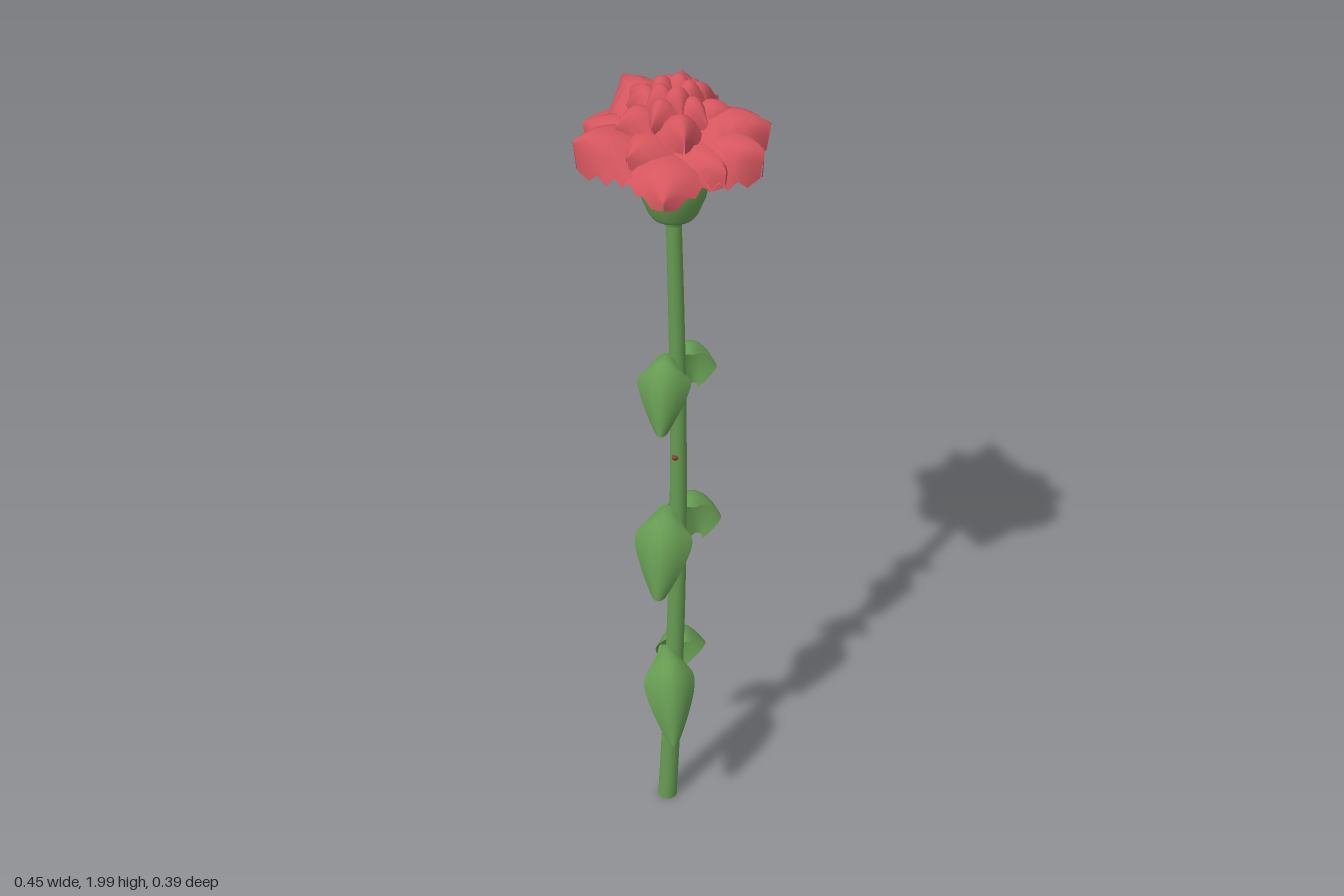
import * as THREE from 'three';

const STEM_TOP = 1.69;

// Gently bowed centre line of the stem at height y
function stemAt(y) {
  const t = y / STEM_TOP;
  const bow = Math.sin(Math.PI * t);
  return new THREE.Vector3(0.012 * bow, y, 0.026 * (1 - t) ** 2 - 0.008 * bow);
}

// Curved blade growing along +x: spine holds three [radius, height] points,
// width(u) is the half width, fold(u) bends the edges below the spine,
// lean pulls the folded edges inward, teeth notch the rim
function bladeGeometry({ spine, width, fold, lean, teeth = 0, rows = 16, cols = 6 }) {
  const curve = new THREE.QuadraticBezierCurve(...spine.map(p => new THREE.Vector2(...p)));
  const geo = new THREE.PlaneGeometry(1, 1, cols, rows);
  const pos = geo.attributes.position;
  for (let i = 0; i < pos.count; i++) {
    const v = pos.getX(i) * 2;
    const u = pos.getY(i) + 0.5;
    const rim = Math.abs(v) > 0.99 && Math.round(u * rows) % 2 ? teeth : 0;
    const p = curve.getPoint(u);
    const along = curve.getTangent(u);
    const drop = fold(u) * v * v + rim;
    pos.setXYZ(i, p.x + lean * along.y * drop, p.y - along.x * drop, v * width(u));
  }
  geo.computeVertexNormals();
  return geo;
}

export function createModel() {
  const green = new THREE.MeshStandardMaterial({ color: 0x669b52, side: THREE.DoubleSide });
  green.name = 'leaf green';
  const red = new THREE.MeshStandardMaterial({ color: 0xd6565f, side: THREE.DoubleSide });
  red.name = 'petal red';
  const brown = new THREE.MeshStandardMaterial({ color: 0x8f4038 });
  brown.name = 'thorn brown';

  const model = new THREE.Group();
  model.name = 'flower';
  const add = (name, geo, mat, parent = model) => {
    const mesh = new THREE.Mesh(geo, mat);
    mesh.name = name;
    parent.add(mesh);
    return mesh;
  };

  // Stem: tapered cylinder bent along its centre line
  const stemGeo = new THREE.CylinderGeometry(0.017, 0.024, STEM_TOP, 16, 24);
  stemGeo.translate(0, STEM_TOP / 2, 0);
  const sp = stemGeo.attributes.position;
  for (let i = 0; i < sp.count; i++) {
    const c = stemAt(sp.getY(i));
    sp.setXYZ(i, sp.getX(i) + c.x, sp.getY(i), sp.getZ(i) + c.z);
  }
  stemGeo.computeVertexNormals();
  add('stem', stemGeo, green);

  // Calyx: open cup with a small collar below
  const cup = [[0, 1.678], [0.048, 1.68], [0.055, 1.69], [0.069, 1.725], [0.077, 1.76], [0.074, 1.79]];
  add('calyx', new THREE.LatheGeometry(cup.map(p => new THREE.Vector2(...p)), 28), green);
  add('collar', new THREE.CylinderGeometry(0.025, 0.019, 0.022, 16), green).position.y = 1.668;

  // Leaves: three opposite pairs, set to one side of the stem, arching down
  const pairs = [
    { y: 0.49, reach: 0.146, drop: 0.2, half: 0.062, angle: 0.8 },
    { y: 0.905, reach: 0.137, drop: 0.18, half: 0.068, angle: 1.14 },
    { y: 1.325, reach: 0.113, drop: 0.15, half: 0.06, angle: 1.08 },
  ];
  for (const { y, reach, drop, half, angle } of pairs) {
    const geo = bladeGeometry({
      spine: [[0, 0], [reach * 0.85, 0.045], [reach, -drop]],
      width: u => half * Math.sin(Math.PI * (0.05 + 0.9 * u ** 1.2)) ** 0.8,
      fold: u => 0.05 * Math.sin(Math.PI * 0.92 * u ** 1.1) ** 0.8,
      lean: 1,
    });
    geo.translate(0, 0, 0.024);
    for (const turn of [0, Math.PI]) {
      const leaf = add('leaf', geo, green);
      leaf.position.copy(stemAt(y));
      leaf.rotation.y = -(angle + turn);
    }
  }

  // Thorns: small cones pointing outward
  const thorns = [[0.66, 130], [1.05, 80], [1.23, 130]];
  for (const [y, degrees] of thorns) {
    const a = THREE.MathUtils.degToRad(degrees);
    const out = new THREE.Vector3(Math.cos(a), 0.3, Math.sin(a)).normalize();
    const thorn = add('thorn', new THREE.ConeGeometry(0.01, 0.022, 8), brown);
    thorn.position.copy(stemAt(y)).addScaledVector(out, 0.026);
    thorn.quaternion.setFromUnitVectors(new THREE.Vector3(0, 1, 0), out);
  }

  // Petals: rings from the low outer ones to the tight domed heart
  const bloom = new THREE.Group();
  bloom.name = 'bloom';
  model.add(bloom);
  const rings = [
    { angles: [60, 180, 300], spine: [[0, 1.83], [0.13, 1.93], [0.226, 1.835]], half: 0.088, fold: 0.035 },
    { angles: [0, 120, 240], spine: [[0, 1.84], [0.13, 1.95], [0.226, 1.905]], half: 0.094, fold: 0.075 },
    { angles: [22, 158], spine: [[0, 1.85], [0.1, 1.93], [0.195, 1.875]], half: 0.08, fold: 0.05 },
    { angles: [90, 270], spine: [[0, 1.86], [0.08, 1.95], [0.165, 1.89]], half: 0.075, fold: 0.06 },
    { angles: [202, 338], spine: [[0, 1.87], [0.1, 1.98], [0.206, 1.92]], half: 0.088, fold: 0.07 },
    { angles: [45, 117, 189, 261, 333], spine: [[0, 1.87], [0.07, 2.01], [0.135, 1.92]], half: 0.046, fold: 0.055 },
    { angles: [10, 82, 154, 226, 298], spine: [[0, 1.89], [0.05, 2.04], [0.1, 1.93]], half: 0.032, fold: 0.045 },
    { angles: [40, 112, 184, 256, 328], spine: [[0, 1.95], [0.035, 2.045], [0.07, 1.935]], half: 0.025, fold: 0.035 },
  ];
  for (const { angles, spine, half, fold } of rings) {
    const geo = bladeGeometry({
      spine,
      width: u => half * Math.sin(Math.PI * u) ** 0.85 + 0.002,
      fold: u => fold * Math.min(1, u * 1.6),
      lean: 0.25,
      teeth: half * 0.2,
      rows: 14,
    });
    for (const degrees of angles) {
      add('petal', geo, red, bloom).rotation.y = -THREE.MathUtils.degToRad(degrees);
    }
  }
  return model;
}
